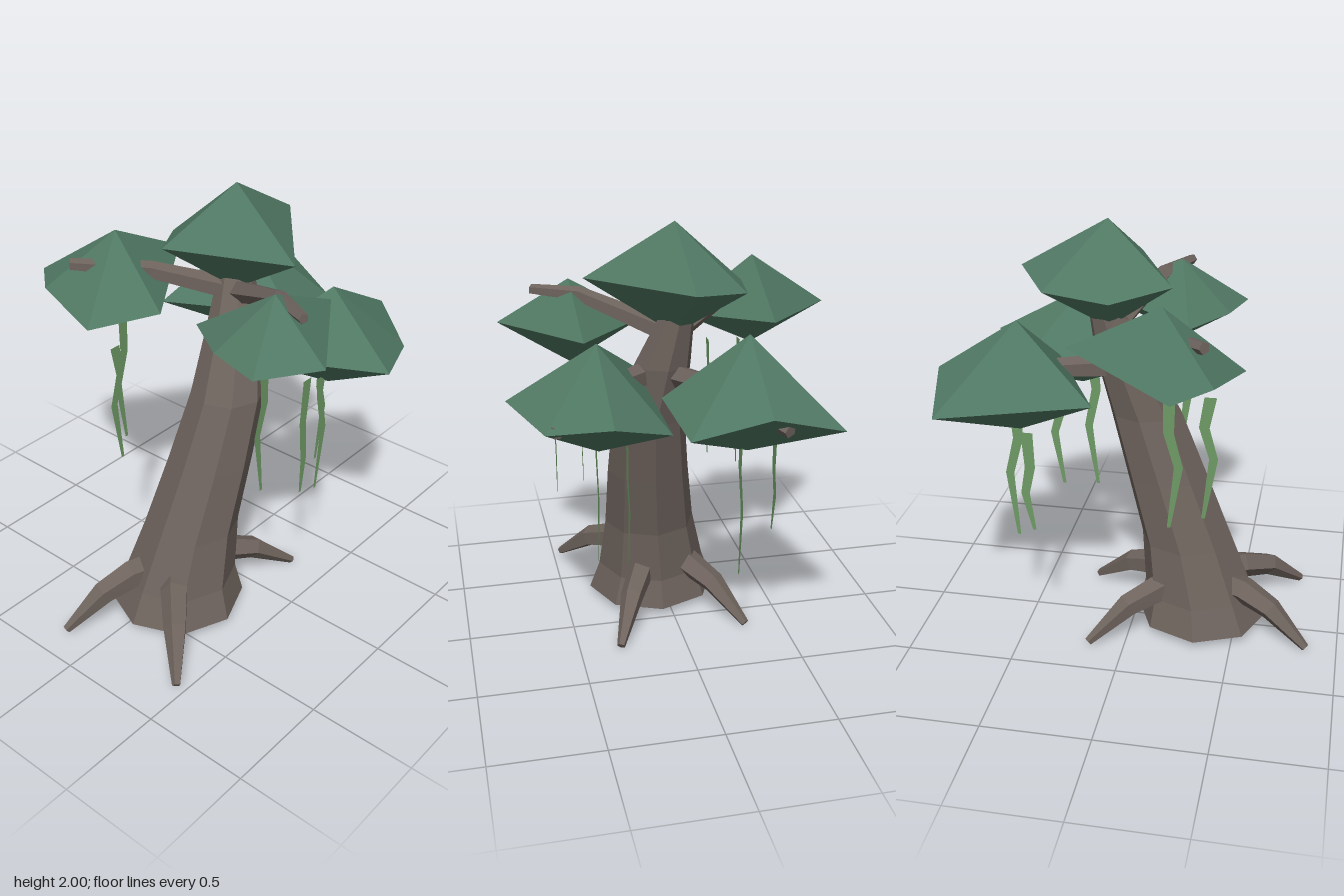
import * as THREE from 'three';

const material = (color, side = THREE.FrontSide) =>
  new THREE.MeshStandardMaterial({ color, flatShading: true, side });
const bark = material(0x6e635d, THREE.DoubleSide);
const foliage = material(0x507863);
const vineGreen = material(0x6e9a66, THREE.DoubleSide);

function makeMesh(name, positions, index, mat) {
  let geometry = new THREE.BufferGeometry();
  geometry.setAttribute('position', new THREE.Float32BufferAttribute(positions, 3));
  geometry.setIndex(index);
  geometry = geometry.toNonIndexed();
  geometry.computeVertexNormals();
  const mesh = new THREE.Mesh(geometry, mat);
  mesh.name = name;
  return mesh;
}

// Tapered limb through stations [x, y, z, radius]; level keeps the rings horizontal
function limb(name, stations, sides, level = false) {
  const points = stations.map(([x, y, z]) => new THREE.Vector3(x, y, z));
  const up = new THREE.Vector3(0, 1, 0);
  const positions = [], index = [];
  points.forEach((p, j) => {
    const last = points.length - 1;
    const t = level ? up.clone()
      : points[Math.min(j + 1, last)].clone().sub(points[Math.max(j - 1, 0)]).normalize();
    const u = level ? new THREE.Vector3(1, 0, 0) : t.clone().cross(up).normalize();
    const v = t.clone().cross(u);
    for (let i = 0; i < sides; i++) {
      const a = (i / sides) * Math.PI * 2;
      const q = p.clone()
        .addScaledVector(u, Math.cos(a) * stations[j][3])
        .addScaledVector(v, Math.sin(a) * stations[j][3]);
      positions.push(q.x, q.y, q.z);
    }
  });
  for (let j = 0; j < points.length - 1; j++) {
    for (let i = 0; i < sides; i++) {
      const a = j * sides + i, b = j * sides + (i + 1) % sides;
      index.push(a, b, b + sides, a, b + sides, a + sides);
    }
  }
  // End caps for roots and branches; the trunk stays open
  if (!level) {
    const end = (points.length - 1) * sides;
    for (let i = 1; i < sides - 1; i++) {
      index.push(0, i + 1, i, end, end + i, end + i + 1);
    }
  }
  return makeMesh(name, positions, index, bark);
}

// Faceted leaf clump: top point, uneven ring [x, y, z] around it, bottom point
function leafClump(name, [cx, cz], top, bottom, ring) {
  const sorted = [...ring].sort((a, b) =>
    Math.atan2(a[2] - cz, a[0] - cx) - Math.atan2(b[2] - cz, b[0] - cx));
  const positions = [cx, top, cz, cx, bottom, cz, ...sorted.flat()];
  const index = [];
  for (let i = 0; i < sorted.length; i++) {
    const a = 2 + i, b = 2 + (i + 1) % sorted.length;
    index.push(0, b, a, 1, a, b);
  }
  return makeMesh(name, positions, index, foliage);
}

// Flat zigzag ribbon facing the front, narrowing toward its tip
function vine(name, z, path) {
  const widths = [0.055, 0.047, 0.04, 0.016];
  const positions = [], index = [];
  path.forEach(([x, y], i) => {
    const w = widths[i] / 2;
    positions.push(x - w, y, z, x + w, y, z);
    if (i) index.push(2 * i - 2, 2 * i, 2 * i + 1, 2 * i - 2, 2 * i + 1, 2 * i - 1);
  });
  return makeMesh(name, positions, index, vineGreen);
}

export function createModel() {
  const tree = new THREE.Group();
  tree.name = 'tree';

  // Leaning trunk with a flared foot
  tree.add(limb('trunk', [
    [-0.328, 0.04, 0.053, 0.315], [-0.31, 0.18, 0.055, 0.265], [-0.245, 0.44, 0.075, 0.22],
    [-0.135, 0.76, 0.1, 0.195], [-0.03, 1.07, 0.115, 0.17], [0.07, 1.35, 0.07, 0.13],
    [0.135, 1.58, 0.02, 0.08],
  ], 8, true));

  // Roots arching down to the ground
  const foot = [-0.33, 0.04];
  const rootTips = [[-0.855, -0.175], [-0.79, 0.46], [0.245, 0.31], [0.17, -0.315]];
  rootTips.forEach(([tx, tz], i) => {
    const dx = tx - foot[0], dz = tz - foot[1], length = Math.hypot(dx, dz);
    const at = (d, y, r) => [foot[0] + dx / length * d, y, foot[1] + dz / length * d, r];
    tree.add(limb(`root${i + 1}`, [
      at(0.1, 0.23, 0.07), at(0.23, 0.225, 0.068), at(length * 0.66, 0.17, 0.056),
      at(length, 0.02, 0.02),
    ], 5));
  });

  // Branches reaching into the clumps
  const branches = {
    branchFrontRight: [[0.1, 1.5, 0.05, 0.055], [-0.07, 1.65, 0.42, 0.036], [-0.17, 1.658, 0.62, 0.024]],
    branchBackRight: [[0.1, 1.5, 0.02, 0.055], [-0.13, 1.59, -0.26, 0.042], [-0.38, 1.63, -0.51, 0.028]],
    branchFrontLeft: [[0.03, 1.3, 0.1, 0.06], [0.28, 1.33, 0.34, 0.045], [0.56, 1.245, 0.62, 0.03]],
    branchBackLeft: [[0.03, 1.3, 0.08, 0.06], [0.4, 1.33, -0.12, 0.045], [0.79, 1.265, -0.305, 0.03]],
  };
  for (const [name, stations] of Object.entries(branches)) tree.add(limb(name, stations, 5));

  // Leaf clumps
  tree.add(leafClump('crownTop', [0.125, 0.025], 2.0, 1.5, [
    [0.52, 1.77, 0.02], [0.365, 1.73, -0.235], [0.06, 1.71, -0.29],
    [-0.19, 1.75, -0.13], [0.04, 1.75, 0.415]]));
  tree.add(leafClump('crownBackRight', [-0.19, -0.41], 1.76, 1.34, [
    [0.225, 1.55, -0.405], [-0.285, 1.49, -0.795], [-0.437, 1.5, -0.62],
    [-0.53, 1.445, -0.26], [-0.26, 1.48, -0.08]]));
  tree.add(leafClump('crownFrontRight', [-0.145, 0.455], 1.705, 1.315, [
    [0.265, 1.525, 0.45], [-0.23, 1.48, 0.1], [-0.39, 1.49, 0.335],
    [-0.45, 1.48, 0.585], [-0.22, 1.5, 0.775]]));
  tree.add(leafClump('crownFrontLeft', [0.34, 0.408], 1.545, 1.06, [
    [0.755, 1.315, 0.405], [0.595, 1.21, 0.135], [-0.085, 1.29, 0.17],
    [0.24, 1.285, 0.79], [0.565, 1.24, 0.66]]));
  tree.add(leafClump('crownBackLeft', [0.488, -0.215], 1.59, 1.07, [
    [0.857, 1.345, -0.215], [0.78, 1.24, -0.55], [0.11, 1.29, -0.415],
    [0.385, 1.3, 0.14], [0.76, 1.24, 0.1]]));

  // Hanging vines, two per clump: depth, then [x, y] from top to tip
  const vines = [
    [-0.25, [[-0.38, 1.305], [-0.355, 1.16], [-0.4, 1.01], [-0.36, 0.71]]],
    [-0.36, [[-0.215, 1.35], [-0.215, 1.17], [-0.26, 1.01], [-0.22, 0.71]]],
    [0.41, [[-0.145, 1.33], [-0.14, 1.16], [-0.185, 1.01], [-0.15, 0.71]]],
    [0.55, [[-0.025, 1.285], [-0.045, 1.08], [-0.03, 0.88], [-0.045, 0.71]]],
    [0.41, [[0.285, 1.11], [0.275, 1.02], [0.315, 0.82], [0.27, 0.495]]],
    [-0.36, [[0.42, 1.12], [0.41, 0.95], [0.435, 0.82], [0.398, 0.635]]],
    [0.3, [[0.435, 1.11], [0.425, 0.96], [0.465, 0.82], [0.42, 0.54]]],
    [-0.175, [[0.52, 1.105], [0.515, 1.0], [0.56, 0.82], [0.528, 0.495]]],
  ];
  vines.forEach(([z, path], i) => tree.add(vine(`vine${i + 1}`, z, path)));

  return tree;
}
